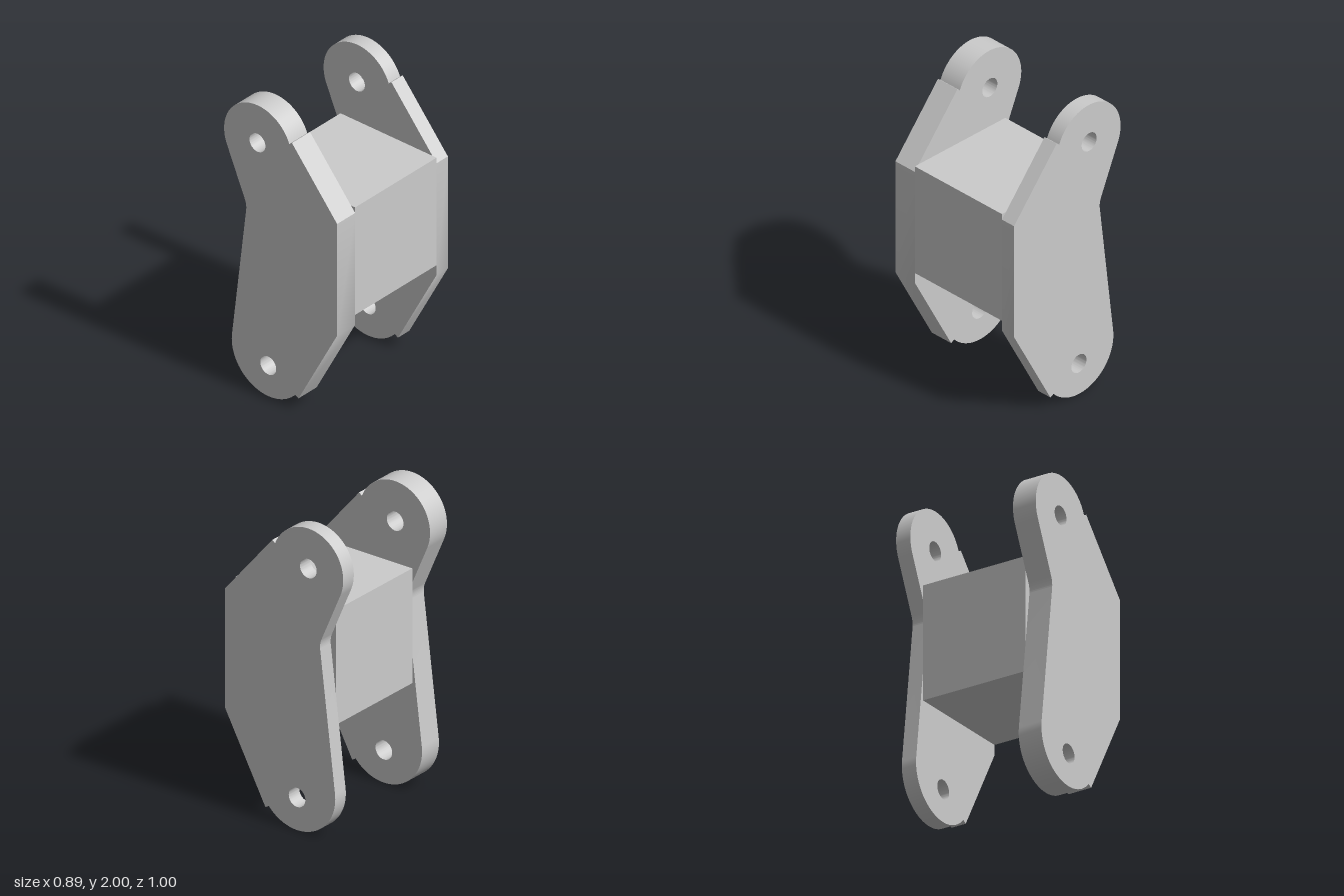
import * as THREE from 'three';
import { toCreasedNormals } from 'three/addons/utils/BufferGeometryUtils.js';

const material = new THREE.MeshStandardMaterial({ color: 0xcccccc });

// Side profile of a link plate: two rounded ends, a bent body and two pin holes
function plateShape() {
  const s = new THREE.Shape();
  s.moveTo(0.443, 0.645);
  s.lineTo(0.443, 1.427);
  s.lineTo(0.088, 1.848);
  s.lineTo(0.065, 1.83);
  s.absarc(-0.18, 1.735, 0.265, 0.37, 3.56, false);
  s.lineTo(-0.283, 1.305);
  s.quadraticCurveTo(-0.267, 1.27, -0.272, 1.23);
  s.absarc(-0.1, 0.285, 0.285, 3.02, 5.56, false);
  s.lineTo(0.14, 0.082);
  s.closePath();
  for (const [x, y] of [[-0.183, 1.738], [-0.098, 0.214]]) {
    s.holes.push(new THREE.Path().absarc(x, y, 0.0625, 0, Math.PI * 2, true));
  }
  return s;
}

function plate(name, z0, z1) {
  const geometry = new THREE.ExtrudeGeometry(plateShape(), {
    depth: z1 - z0, bevelEnabled: false, curveSegments: 32,
  });
  geometry.translate(0, 0, z0);
  const mesh = new THREE.Mesh(toCreasedNormals(geometry, 0.5), material);
  mesh.name = name;
  return mesh;
}

export function createModel() {
  const group = new THREE.Group();
  group.name = 'linkBracket';

  // The front plate is thicker than the back one
  group.add(plate('frontPlate', 0.337, 0.5), plate('backPlate', -0.5, -0.398));

  // Solid block joining the plates
  const block = new THREE.Mesh(new THREE.BoxGeometry(0.755, 0.752, 0.735), material);
  block.name = 'centreBlock';
  block.position.set(0.0655, 1.09, -0.0305);
  group.add(block);

  return group;
}
